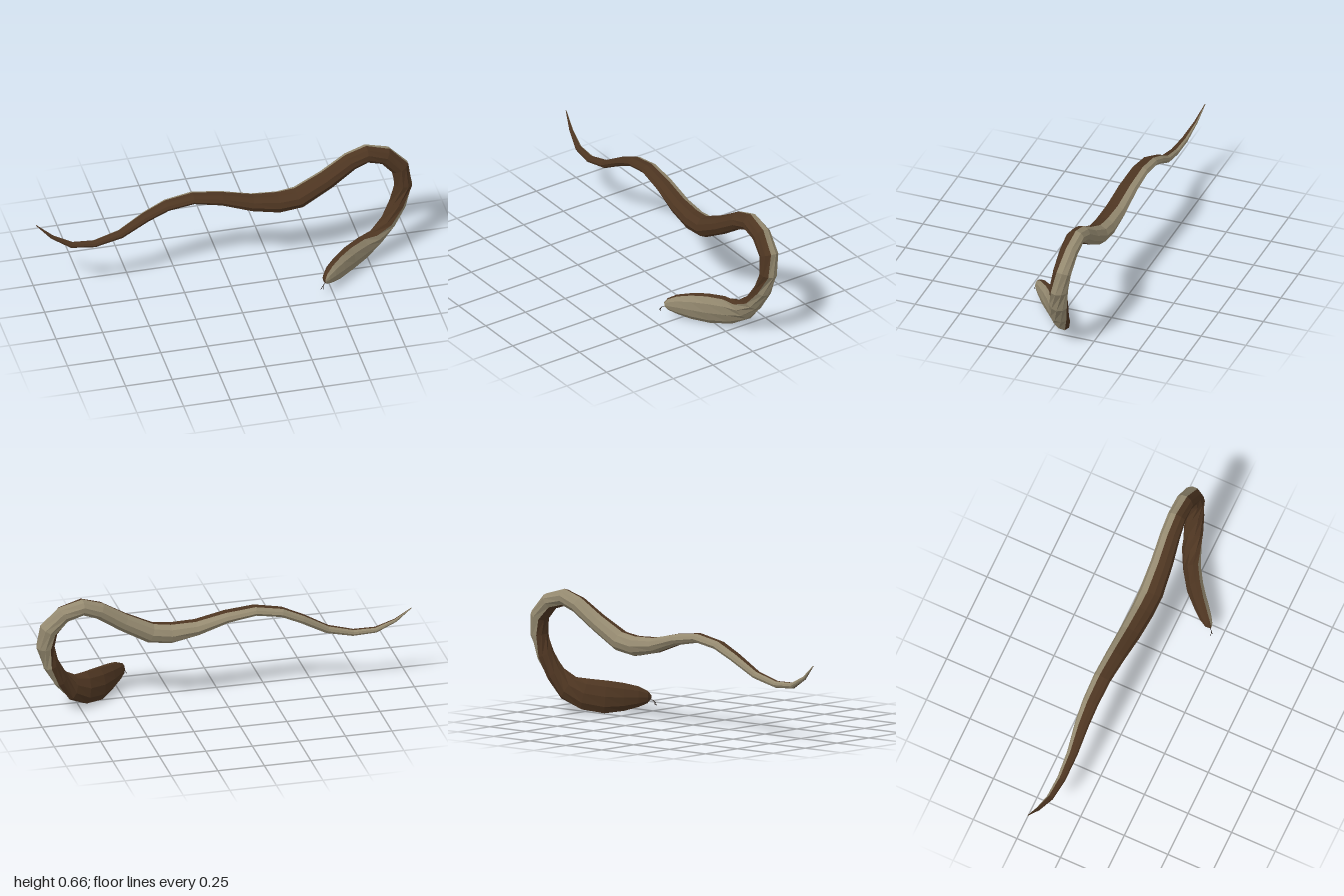
import * as THREE from 'three';

const SIDES = 10;
const BROWN_SIDES = 6; // faces on the back; the rest form the belly

// Rings from tail to snout: x, y, z, half depth (belly to back), half width
const RINGS = [
  [-1.0, 0.43, -0.187, 0.002, 0.002],
  [-0.92, 0.358, -0.165, 0.010, 0.010],
  [-0.82, 0.306, -0.143, 0.018, 0.016],
  [-0.70, 0.30, -0.134, 0.023, 0.018],
  [-0.56, 0.337, -0.136, 0.029, 0.021],
  [-0.42, 0.418, -0.146, 0.038, 0.023],
  [-0.31, 0.470, -0.148, 0.043, 0.024],
  [-0.17, 0.495, -0.146, 0.047, 0.025],
  [-0.02, 0.473, -0.138, 0.052, 0.030],
  [0.14, 0.426, -0.130, 0.058, 0.042],
  [0.28, 0.408, -0.125, 0.061, 0.054],
  [0.39, 0.423, -0.123, 0.063, 0.054],
  [0.54, 0.505, -0.130, 0.058, 0.048],
  [0.67, 0.590, -0.142, 0.053, 0.045],
  [0.76, 0.621, -0.148, 0.050, 0.045],
  [0.86, 0.592, -0.150, 0.050, 0.046],
  [0.938, 0.510, -0.144, 0.050, 0.050],
  [0.953, 0.410, -0.130, 0.047, 0.050],
  [0.920, 0.300, -0.118, 0.044, 0.050],
  [0.865, 0.205, -0.100, 0.043, 0.055],
  [0.795, 0.135, -0.078, 0.043, 0.070],
  [0.715, 0.105, -0.040, 0.044, 0.086],
  [0.625, 0.092, 0.020, 0.044, 0.090],
  [0.555, 0.092, 0.083, 0.040, 0.076],
  [0.500, 0.093, 0.135, 0.033, 0.056],
  [0.468, 0.090, 0.170, 0.022, 0.034],
  [0.458, 0.088, 0.187, 0.007, 0.012],
];

// Which way the brown back faces: ring index, direction
const BACK = [
  [0, 0, 0.1, 1], [9, 0, 0, 1], [13, 0, -0.25, 1], [15, -0.3, -0.3, 0.9],
  [17, -0.75, 0, 0.6], [18, -1, 0.2, 0.1], [19, -0.9, 0.4, -0.25],
  [20, -0.6, 0.4, -0.65], [21, -0.55, 0.2, -0.8], [23, -0.7, 0.05, -0.7], [26, -0.7, 0, -0.7],
];

function backDirection(i) {
  const n = Math.max(1, BACK.findIndex((k) => k[0] >= i));
  const a = BACK[n - 1], b = BACK[n];
  return new THREE.Vector3(a[1], a[2], a[3])
    .lerp(new THREE.Vector3(b[1], b[2], b[3]), (i - a[0]) / (b[0] - a[0]));
}

// Vertices of one elliptical ring, square to the spine
function ringPoints(i) {
  const at = (k) => new THREE.Vector3(...RINGS[Math.min(RINGS.length - 1, Math.max(0, k))].slice(0, 3));
  const [, , , depth, width] = RINGS[i];
  const t = at(i + 1).sub(at(i - 1)).normalize();
  const b = backDirection(i);
  b.addScaledVector(t, -b.dot(t)).normalize();
  const s = t.clone().cross(b);
  return Array.from({ length: SIDES }, (_, k) => {
    const a = (k - BROWN_SIDES / 2) / SIDES * Math.PI * 2;
    return at(i).addScaledVector(b, depth * Math.cos(a)).addScaledVector(s, width * Math.sin(a));
  });
}

// Strip of the body skin between two sides, closed at both ends
function skin(from, to) {
  const rings = RINGS.map((_, i) => ringPoints(i));
  const pos = [];
  const tri = (...v) => v.forEach((p) => pos.push(p.x, p.y, p.z));
  const centre = (i) => new THREE.Vector3(...RINGS[i].slice(0, 3));
  const last = rings.length - 1;
  for (let k = from; k < to; k++) {
    const n = (k + 1) % SIDES;
    for (let i = 0; i < last; i++) {
      tri(rings[i][k], rings[i][n], rings[i + 1][n]);
      tri(rings[i][k], rings[i + 1][n], rings[i + 1][k]);
    }
    tri(centre(0), rings[0][n], rings[0][k]);
    tri(centre(last), rings[last][k], rings[last][n]);
  }
  const g = new THREE.BufferGeometry();
  g.setAttribute('position', new THREE.Float32BufferAttribute(pos, 3));
  g.computeVertexNormals(); // unshared corners give flat facets
  return g;
}

export function createModel() {
  const material = (name, color) => {
    const m = new THREE.MeshStandardMaterial({ color });
    m.name = name;
    return m;
  };
  const brown = material('back brown', 0x4d3521);
  const pale = material('belly tan', 0x958a70);
  const dark = material('tongue dark', 0x241a14);

  const model = new THREE.Group();
  model.name = 'snake';
  const add = (name, geometry, mat, parent = model) => {
    const mesh = new THREE.Mesh(geometry, mat);
    mesh.name = name;
    parent.add(mesh);
  };

  add('back', skin(0, BROWN_SIDES), brown);
  add('belly', skin(BROWN_SIDES, SIDES), pale);

  // Forked tongue: two thin curves sharing a root
  const tongue = new THREE.Group();
  tongue.name = 'tongue';
  for (const side of [-1, 1]) {
    const path = new THREE.CatmullRomCurve3([
      new THREE.Vector3(0.463, 0.080, 0.180),
      new THREE.Vector3(0.450, 0.073, 0.192),
      new THREE.Vector3(0.442 + side * 0.002, 0.063, 0.199),
      new THREE.Vector3(0.437 + side * 0.006, 0.047, 0.200 + side * 0.002),
    ]);
    add(side < 0 ? 'rightFork' : 'leftFork', new THREE.TubeGeometry(path, 8, 0.0015, 5), dark, tongue);
  }
  model.add(tongue);
  return model;
}
